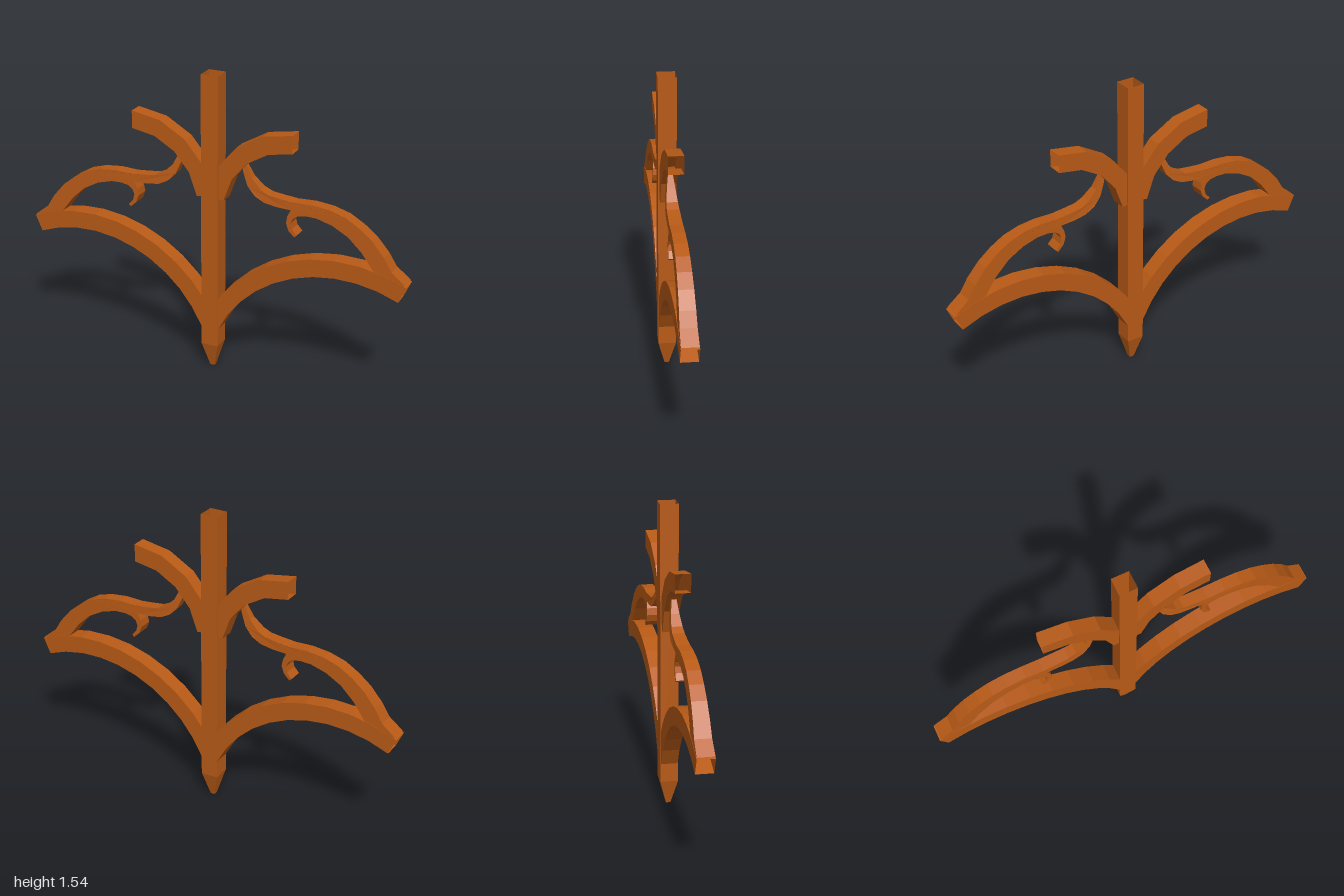
import * as THREE from 'three';

const material = new THREE.MeshStandardMaterial({
  color: 0xb85a16, flatShading: true, side: THREE.DoubleSide,
});

function mesh(name, geometry) {
  const m = new THREE.Mesh(geometry, material);
  m.name = name;
  return m;
}

// Hollow square beam bent along an arc in the xy plane, open at both ends
function arcBeam(name, cx, cy, rIn, rOut, depth, fromDeg, toDeg, segments) {
  const h = depth / 2;
  const profile = [[rIn, -h], [rOut, -h], [rOut, h], [rIn, h], [rIn, -h]]
    .map(([r, z]) => new THREE.Vector2(r, z));
  const rad = THREE.MathUtils.degToRad;
  const g = new THREE.LatheGeometry(profile, segments, rad(fromDeg + 90), rad(toDeg - fromDeg));
  g.rotateX(Math.PI / 2);
  g.translate(cx, cy, 0);
  return mesh(name, g);
}

// Flat S-shaped scroll with a hanging curl, thinning in depth towards its top
function scrollGeometry() {
  const shape = new THREE.Shape([
    // upper edge, from the arm end up to the thin tip
    [0.995, 0.66], [0.925, 0.715], [0.885, 0.78], [0.825, 0.85], [0.76, 0.902],
    [0.69, 0.943], [0.61, 0.967], [0.52, 0.977], [0.43, 0.973], [0.36, 0.98],
    [0.3, 0.988], [0.26, 1.008], [0.21, 1.055], [0.178, 1.118], [0.155, 1.11],
    // lower edge back to the curl
    [0.165, 1.075], [0.19, 1.015], [0.23, 0.973], [0.28, 0.947], [0.34, 0.937],
    [0.415, 0.933],
    // curl
    [0.4, 0.9], [0.394, 0.865], [0.408, 0.828], [0.438, 0.8], [0.45, 0.81],
    [0.425, 0.838], [0.418, 0.868], [0.428, 0.893], [0.452, 0.91],
    // lower edge down to the arm
    [0.49, 0.917], [0.545, 0.915], [0.625, 0.893], [0.705, 0.85], [0.775, 0.785],
    [0.835, 0.705], [0.9, 0.66],
  ].map(([x, y]) => new THREE.Vector2(x, y)));
  const g = new THREE.ExtrudeGeometry(shape, { depth: 2, bevelEnabled: false });
  g.translate(0, 0, -1);
  const p = g.attributes.position;
  for (let i = 0; i < p.count; i++) {
    const y = p.getY(i);
    const half = y > 0.97
      ? THREE.MathUtils.mapLinear(y, 0.97, 1.118, 0.032, 0.011)
      : THREE.MathUtils.mapLinear(y, 0.66, 0.97, 0.041, 0.032);
    p.setZ(i, p.getZ(i) * half);
  }
  return g;
}

export function createModel() {
  const model = new THREE.Group();
  model.name = 'postOrnament';

  // Square post, open at the top, with a tapered foot
  const post = new THREE.Group();
  post.name = 'post';
  const r = 0.0445 * Math.SQRT2;
  const shaft = new THREE.CylinderGeometry(r, r, 1.41, 4, 1, true);
  shaft.rotateY(Math.PI / 4).translate(0, 0.835, 0);
  const foot = new THREE.CylinderGeometry(r, 0.016, 0.13, 4, 1, true);
  foot.rotateY(Math.PI / 4).translate(0, 0.065, 0);
  const tip = new THREE.CircleGeometry(0.016, 4);
  tip.rotateX(Math.PI / 2).rotateY(Math.PI / 4);
  post.add(mesh('shaft', shaft), mesh('foot', foot), mesh('footTip', tip));
  post.position.z = 0.004;
  model.add(post);

  // Mirrored sides, each leaning slightly backwards
  for (const [name, sign] of [['left', 1], ['right', -1]]) {
    const side = new THREE.Group();
    side.name = name + 'Side';
    const lean = new THREE.Group();
    lean.name = name + 'Branches';
    lean.add(
      arcBeam('lowerArm', 0.68, -0.07, 0.7, 0.79, 0.084, 66, 155, 10),
      arcBeam('upperArm', 0.42, 0.86, 0.355, 0.445, 0.074, 90, 170, 4),
      mesh('scroll', scrollGeometry()),
    );
    lean.position.z = 0.004;
    lean.rotation.y = 0.009;
    side.add(lean);
    side.scale.x = sign;
    model.add(side);
  }
  return model;
}
